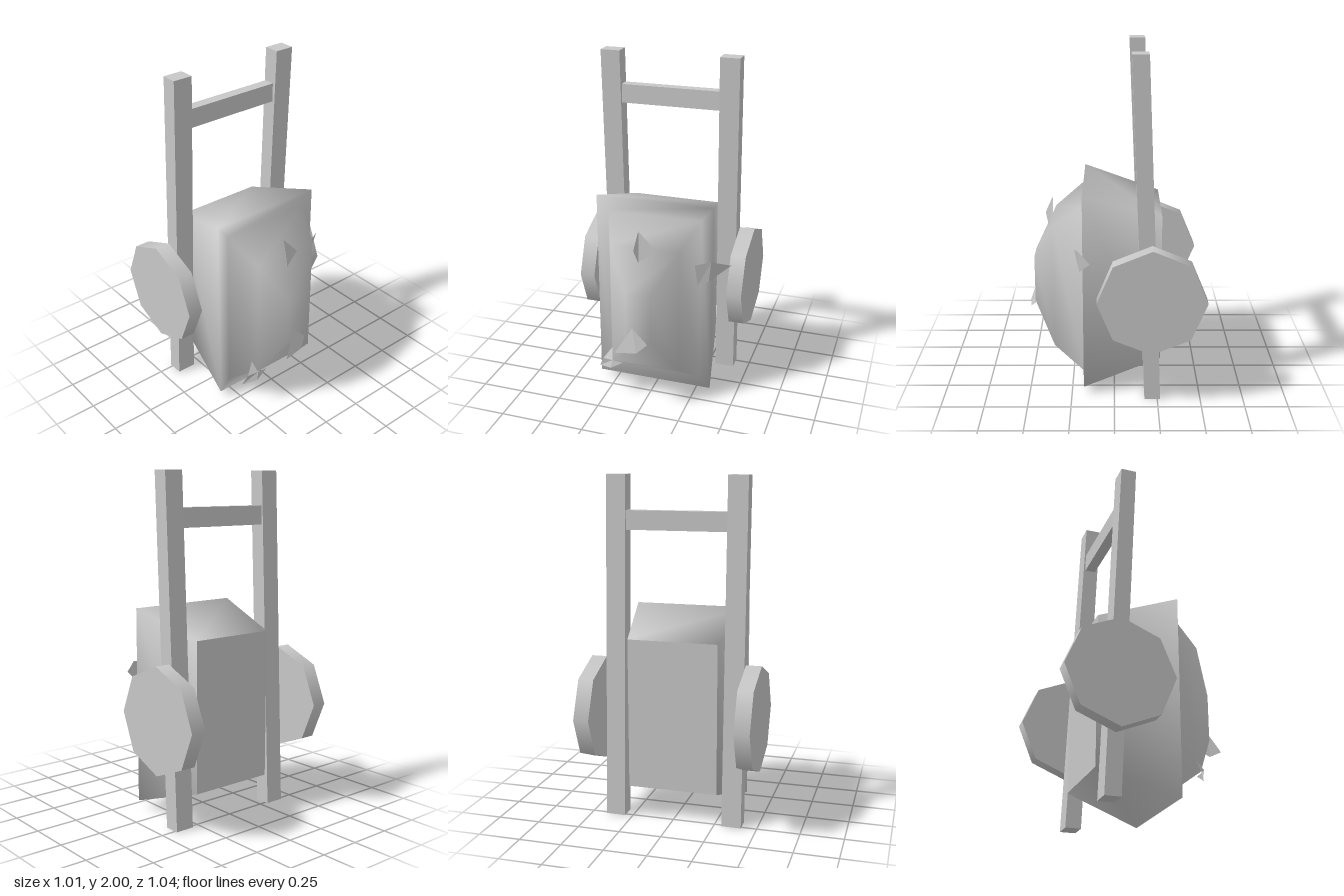
import * as THREE from 'three';

export function createModel() {
  const model = new THREE.Group();
  const grey = new THREE.MeshStandardMaterial({ color: 0xc8c8c8, side: THREE.DoubleSide });
  grey.name = 'light grey';

  const add = (name, geometry, x = 0, y = 0, z = 0) => {
    const mesh = new THREE.Mesh(geometry, grey);
    mesh.name = name;
    mesh.position.set(x, y, z);
    model.add(mesh);
    return mesh;
  };

  const build = (points, index) => {
    const g = new THREE.BufferGeometry();
    g.setAttribute('position', new THREE.Float32BufferAttribute(points.flat(), 3));
    g.setIndex(index);
    g.computeVertexNormals();
    return g;
  };

  // Bag: rectangular sections [z, half width, bottom, top] from back to front, smooth
  const sections = [
    [-0.27, 0.265, 0.19, 1.075],
    [0.18, 0.35, 0.045, 1.215],
    [0.18, 0.28, 0.115, 1.13],
    [0.355, 0.205, 0.245, 0.995],
    [0.475, 0.075, 0.48, 0.76],
  ];
  const loop = ([z, w, b, t]) => [[-w, b, z], [w, b, z], [w, t, z], [-w, t, z]];
  const index = [];
  for (let i = 0; i < sections.length - 1; i++) {
    for (let j = 0; j < 4; j++) {
      const a = i * 4 + j, b = i * 4 + (j + 1) % 4;
      index.push(a, b, b + 4, a, b + 4, a + 4);
    }
  }
  const f = (sections.length - 1) * 4;
  index.push(f, f + 1, f + 2, f, f + 2, f + 3);
  add('bag', build(sections.flatMap(loop), index));
  add('bagBack', build(loop(sections[0]), [0, 2, 1, 0, 3, 2]));

  // Frame rails lean forward with level ends; a wheel sits outside each
  for (const side of [-1, 1]) {
    const label = side > 0 ? 'left' : 'right';
    const rail = new THREE.BoxGeometry(0.115, 2, 0.092);
    const p = rail.attributes.position;
    for (let i = 0; i < p.count; i++) p.setZ(i, p.getZ(i) + 0.0425 * p.getY(i));
    rail.computeVertexNormals();
    add(label + 'Rail', rail, side * 0.3525, 1, -0.179);

    const wheel = new THREE.CylinderGeometry(0.31, 0.31, 0.09, 8);
    wheel.rotateZ(Math.PI / 2);
    add(label + 'Wheel', wheel, side * 0.46, 0.645, -0.21);
  }
  add('crossbar', new THREE.BoxGeometry(0.59, 0.11, 0.064), 0, 1.745, -0.152);

  // Bent scraps sticking out of the bag front, each a fan of flat facets
  const scrap = (name, points) => {
    const fan = [];
    for (let i = 1; i < points.length - 1; i++) fan.push(0, i, i + 1);
    const indexed = build(points, fan);
    const flat = indexed.toNonIndexed();
    flat.computeVertexNormals();
    add(name, flat);
  };
  scrap('upperScrap', [
    [-0.02, 0.915, 0.39], [0.08, 0.985, 0.36], [-0.03, 1.105, 0.365], [-0.045, 1, 0.41],
  ]);
  scrap('sideScrap', [
    [0.35, 0.9, 0.21], [0.26, 0.875, 0.23], [0.27, 0.735, 0.2],
    [0.335, 0.77, 0.195], [0.45, 0.86, 0.135],
  ]);
  scrap('middleScrap', [
    [-0.035, 0.55, 0.475], [-0.125, 0.4, 0.522], [0, 0.41, 0.51], [0.055, 0.455, 0.475],
  ]);
  scrap('lowerScrap', [
    [-0.205, 0.24, 0.36], [-0.22, 0.305, 0.32], [-0.27, 0.235, 0.345],
    [-0.3, 0.17, 0.325], [-0.215, 0.19, 0.368], [-0.14, 0.235, 0.36],
  ]);
  return model;
}
